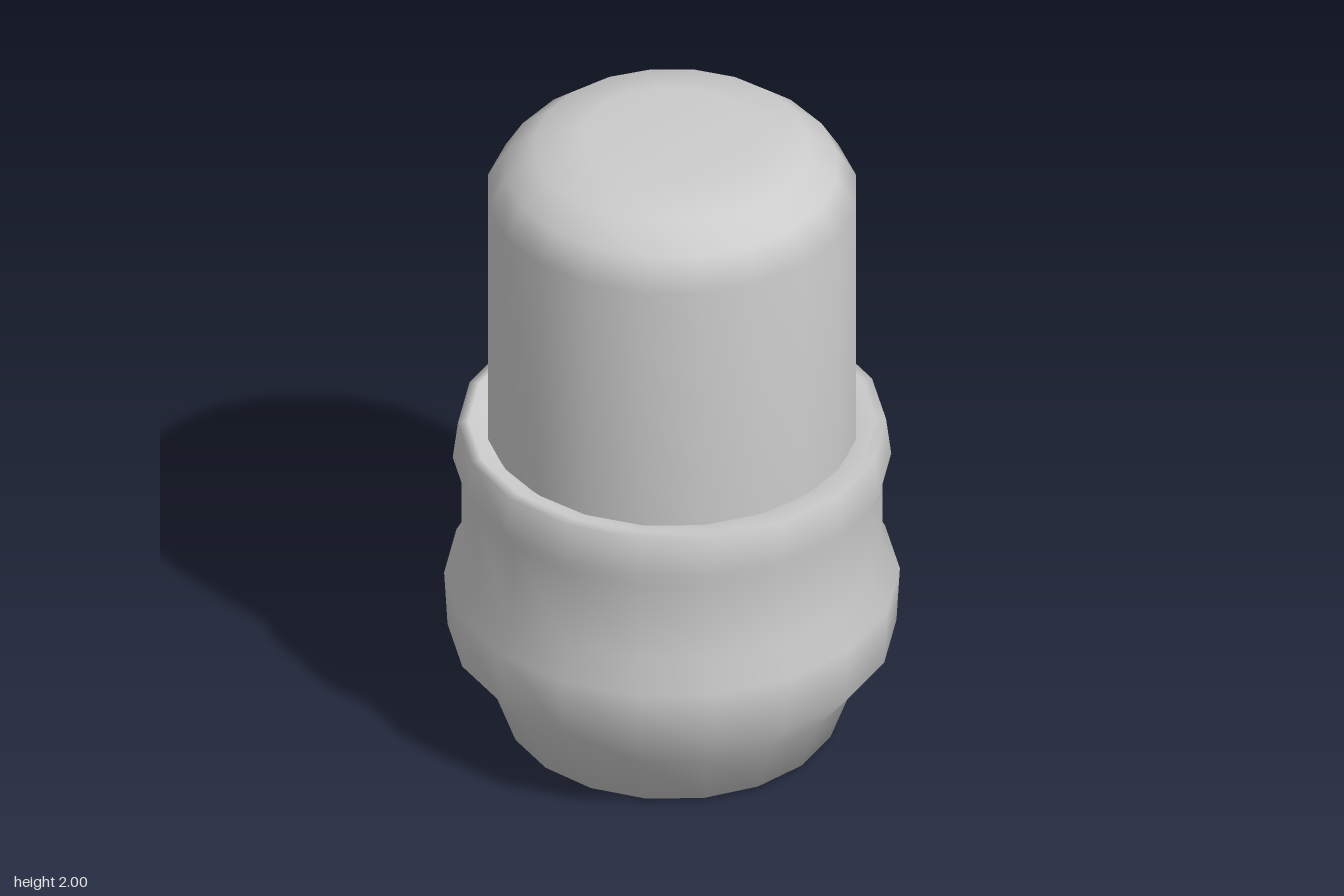
import * as THREE from 'three';

// Turn a [radius, height] profile, listed from bottom to top, into a smooth round part
function turned(name, profile, sides, material) {
  const points = profile.map(([r, y]) => new THREE.Vector2(r, y));
  const mesh = new THREE.Mesh(new THREE.LatheGeometry(points, sides), material);
  mesh.name = name;
  return mesh;
}

export function createModel() {
  const model = new THREE.Group();
  model.name = 'cappedFitting';

  const grey = new THREE.MeshStandardMaterial({ color: 0xcccccc, side: THREE.DoubleSide });
  grey.name = 'light grey';

  // Flared collar, open underneath, with a rounded rim around the cap
  model.add(turned('collar', [
    [0.30, 0], [0.485, 0.015], [0.545, 0.18], [0.65, 0.31], [0.66, 0.49], [0.61, 0.58],
    [0.61, 0.84], [0.635, 0.89], [0.62, 1.01], [0.59, 1.015], [0.53, 1.0],
  ], 18, grey));

  // Hollow domed cap standing inside the collar
  model.add(turned('domedCap', [
    [0.53, 0.25], [0.54, 1.0], [0.54, 1.81], [0.485, 1.9], [0.4, 1.97], [0.26, 2], [0, 2],
  ], 20, grey));

  return model;
}
